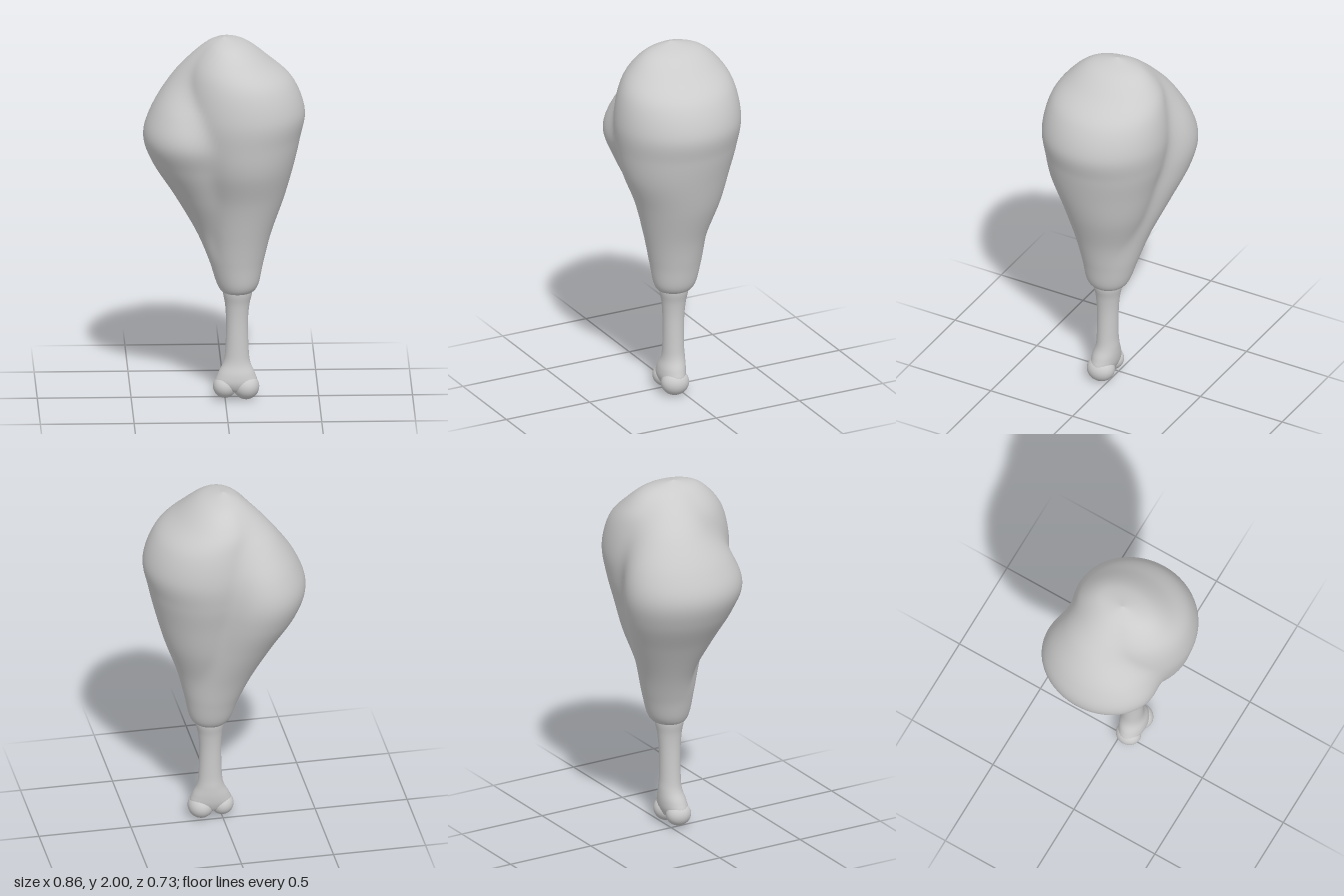
import * as THREE from 'three';

const material = new THREE.MeshStandardMaterial({ color: 0xcccccc });

// Catmull-Rom blend of table rows at parameter t (0..1)
function sampleRow(rows, t) {
  const f = t * (rows.length - 1);
  const i = Math.min(Math.floor(f), rows.length - 2);
  const u = f - i;
  const at = (k) => rows[Math.max(0, Math.min(rows.length - 1, k))];
  const [p, q, r, s] = [at(i - 1), at(i), at(i + 1), at(i + 2)];
  return q.map((v, k) => v + 0.5 * u * (r[k] - p[k]
    + u * (2 * p[k] - 5 * v + 4 * r[k] - s[k]
    + u * (3 * (v - r[k]) + s[k] - p[k]))));
}

// Distance along a ray to the far side of an ellipse given by its bounds
function rayEllipse(ox, oz, c, s, [x0, x1, z0, z1]) {
  const rx = Math.max((x1 - x0) / 2, 0.001), rz = Math.max((z1 - z0) / 2, 0.001);
  const px = (ox - (x0 + x1) / 2) / rx, pz = (oz - (z0 + z1) / 2) / rz;
  const dx = c / rx, dz = s / rz;
  const a = dx * dx + dz * dz, b = px * dx + pz * dz;
  const disc = b * b - a * (px * px + pz * pz - 1);
  return disc < 0 ? 0 : Math.max(0, (-b + Math.sqrt(disc)) / a);
}

function smoothMax(a, b) {
  const m = Math.max(a, b), k = 0.2 * m + 1e-6;
  const h = Math.max(k - Math.abs(a - b), 0) / k;
  return m + h * h * k * 0.25;
}

// Loft through rows of [y, lobe bounds x0 x1 z0 z1, optional second lobe bounds]
function loft(rows, rings, sides) {
  const pos = [], index = [];
  for (let i = 0; i <= rings; i++) {
    const row = sampleRow(rows, i / rings);
    const A = row.slice(1, 5), B = row.length > 5 ? row.slice(5, 9) : null;
    const L = B || A;
    const ox = (Math.min(A[0], L[0]) + Math.max(A[1], L[1])) / 2;
    const oz = (Math.min(A[2], L[2]) + Math.max(A[3], L[3])) / 2;
    for (let j = 0; j < sides; j++) {
      const ang = (j / sides) * Math.PI * 2, c = Math.cos(ang), s = Math.sin(ang);
      let r = rayEllipse(ox, oz, c, s, A);
      if (B) r = smoothMax(r, rayEllipse(ox, oz, c, s, B));
      pos.push(ox + c * r, row[0], oz + s * r);
      if (i < rings) {
        const a = i * sides + j, b = i * sides + (j + 1) % sides;
        index.push(a, a + sides, b, b, a + sides, b + sides);
      }
    }
  }
  const geo = new THREE.BufferGeometry();
  geo.setAttribute('position', new THREE.Float32BufferAttribute(pos, 3));
  geo.setIndex(index);
  geo.computeVertexNormals();
  return geo;
}

// Meat: a tall main lobe and a lower side lobe
const MEAT = [
  [0.61, 0.065, 0.067, 0.03, 0.032, 0.065, 0.067, 0.03, 0.032],
  [0.59, 0.00, 0.13, -0.04, 0.10, 0.00, 0.13, -0.03, 0.09],
  [0.63, -0.03, 0.175, -0.08, 0.14, -0.04, 0.16, -0.085, 0.11],
  [0.76, -0.06, 0.205, -0.11, 0.165, -0.085, 0.17, -0.13, 0.12],
  [0.92, -0.08, 0.245, -0.14, 0.20, -0.155, 0.16, -0.18, 0.12],
  [1.12, -0.12, 0.315, -0.21, 0.255, -0.27, 0.13, -0.26, 0.19],
  [1.30, -0.17, 0.365, -0.26, 0.325, -0.385, 0.11, -0.33, 0.26],
  [1.45, -0.21, 0.40, -0.30, 0.355, -0.435, 0.10, -0.36, 0.305],
  [1.60, -0.23, 0.425, -0.32, 0.368, -0.39, 0.09, -0.335, 0.26],
  [1.76, -0.21, 0.365, -0.30, 0.338, -0.29, 0.08, -0.26, 0.15],
  [1.87, -0.17, 0.245, -0.25, 0.27, -0.195, 0.06, -0.18, 0.10],
  [1.96, -0.09, 0.125, -0.15, 0.165, -0.09, 0.04, -0.10, 0.06],
  [2.00, -0.006, -0.004, 0.009, 0.011, -0.006, -0.004, 0.009, 0.011],
];

// Bone shaft, flaring into the knuckle
const SHAFT = [
  [0.045, 0.054, 0.056, 0.044, 0.046],
  [0.05, 0.01, 0.10, 0.00, 0.09],
  [0.09, -0.052, 0.168, -0.022, 0.112],
  [0.14, -0.04, 0.16, -0.03, 0.11],
  [0.20, -0.01, 0.135, -0.03, 0.093],
  [0.27, 0.001, 0.126, -0.026, 0.088],
  [0.42, 0.005, 0.122, -0.028, 0.088],
  [0.52, 0.00, 0.13, -0.037, 0.095],
  [0.59, -0.012, 0.145, -0.05, 0.108],
  [0.66, -0.012, 0.145, -0.05, 0.108],
];

export function createModel() {
  const group = new THREE.Group();
  const add = (name, geo) => {
    const mesh = new THREE.Mesh(geo, material);
    mesh.name = name;
    group.add(mesh);
    return mesh;
  };

  add('meat', loft(MEAT, 96, 72));
  add('boneShaft', loft(SHAFT, 54, 36));

  // Two rounded knobs at the foot of the bone
  for (const [name, x, y, r] of [['rightKnob', -0.002, 0.072, 0.063], ['leftKnob', 0.112, 0.07, 0.07]]) {
    const knob = add(name, new THREE.SphereGeometry(r, 32, 20));
    knob.position.set(x, y, 0.045);
    knob.scale.z = 1.1;
  }
  return group;
}
